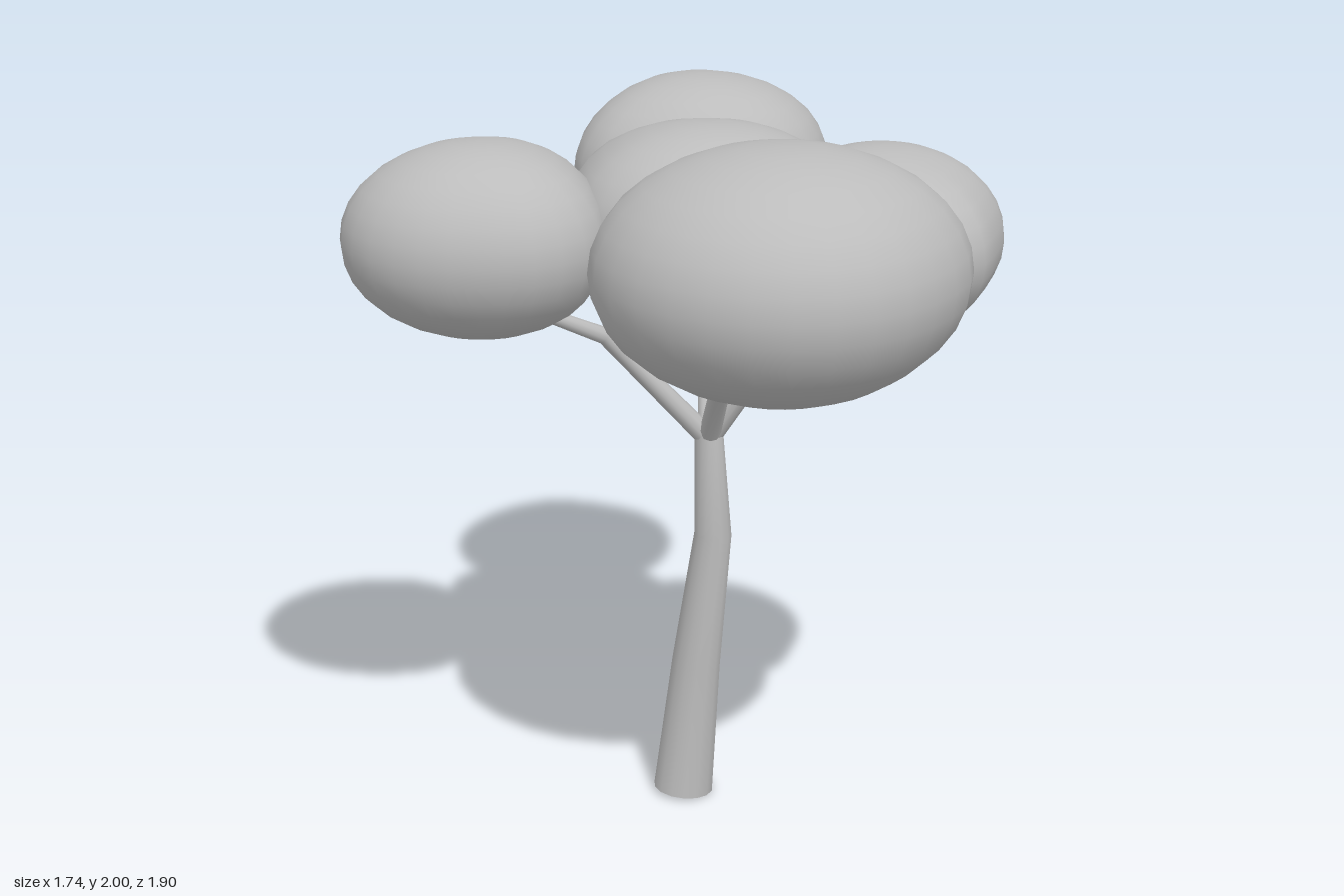
import * as THREE from 'three';
import { mergeVertices } from 'three/addons/utils/BufferGeometryUtils.js';

const grey = new THREE.MeshStandardMaterial({ color: 0xbcbcbc });
grey.name = 'plain grey';

// Smooth closed interpolation of radii given at equal angles
function radiusAt(radii, angle) {
  const n = radii.length;
  const t = ((angle / (2 * Math.PI)) * n + 2 * n) % n;
  const i = Math.floor(t), f = t - i;
  const [a, b, c, d] = [-1, 0, 1, 2].map((k) => radii[(i + k + n) % n]);
  return b + 0.5 * f * (c - a + f * (2 * a - 5 * b + 4 * c - d + f * (3 * (b - c) + d - a)));
}

// Lumpy leaf cushion: a sphere whose plan outline follows the radii (from +x towards +z)
function leafClump(name, [cx, cy, cz], height, radii) {
  let geo = new THREE.SphereGeometry(1, 28, 16);
  geo.deleteAttribute('uv');
  geo.deleteAttribute('normal');
  geo = mergeVertices(geo, 1e-4);
  const pos = geo.attributes.position;
  for (let i = 0; i < pos.count; i++) {
    const x = pos.getX(i), y = pos.getY(i), z = pos.getZ(i);
    const ring = Math.hypot(x, z);
    const angle = Math.atan2(z, x);
    // blend to an even radius near the poles, with slightly full sides
    const even = radii.reduce((s, r) => s + r, 0) / radii.length;
    const r = THREE.MathUtils.lerp(even, radiusAt(radii, angle), Math.min(1, ring * 1.3)) * Math.pow(ring, 0.92);
    pos.setXYZ(i, cx + r * Math.cos(angle), cy + y * height, cz + r * Math.sin(angle));
  }
  geo.computeVertexNormals();
  const mesh = new THREE.Mesh(geo, grey);
  mesh.name = name;
  return mesh;
}

// Tapered limb through points [x, y, z, radius], listed from bottom to top
function limb(name, points, sides) {
  const n = points.length;
  const centres = points.map((p) => new THREE.Vector3(p[0], p[1], p[2]));
  const up = new THREE.Vector3(0, 1, 0);
  const turns = centres.map((c, i) => {
    const dir = centres[Math.min(i + 1, n - 1)].clone().sub(centres[Math.max(i - 1, 0)]).normalize();
    return new THREE.Quaternion().setFromUnitVectors(up, dir);
  });
  const geo = new THREE.CylinderGeometry(1, 1, 1, sides, n - 1, false, Math.PI);
  const pos = geo.attributes.position;
  const v = new THREE.Vector3();
  for (let i = 0; i < pos.count; i++) {
    const row = Math.round((pos.getY(i) + 0.5) * (n - 1));
    v.set(pos.getX(i), 0, pos.getZ(i)).multiplyScalar(points[row][3]);
    v.applyQuaternion(turns[row]).add(centres[row]);
    pos.setXYZ(i, v.x, v.y, v.z);
  }
  geo.computeVertexNormals();
  const mesh = new THREE.Mesh(geo, grey);
  mesh.name = name;
  return mesh;
}

export function createModel() {
  const tree = new THREE.Group();
  tree.name = 'tree';

  // Gently bent trunk
  tree.add(limb('trunk', [
    [0.032, 0.01, -0.016, 0.084],
    [0.068, 0.4, -0.019, 0.068],
    [0.112, 0.8, 0.017, 0.052],
    [0.1, 1.09, -0.006, 0.04],
  ], 14));

  // Four branches fanning out from the trunk top
  const fork = [0.1, 1.07, -0.005, 0.03];
  const branches = {
    rightBranch: [[-0.18, 1.385, 0.06, 0.024], [-0.42, 1.49, 0.1, 0.016]],
    frontBranch: [[0.14, 1.375, 0.22, 0.026], [0.18, 1.48, 0.38, 0.018]],
    leftBranch: [[0.3, 1.385, 0.07, 0.024], [0.46, 1.48, 0.13, 0.016]],
    backBranch: [[0.1, 1.375, -0.27, 0.024], [0.09, 1.47, -0.45, 0.016]],
  };
  for (const [name, path] of Object.entries(branches)) tree.add(limb(name, [fork, ...path], 10));

  // Five overlapping leaf clumps
  tree.add(
    leafClump('rightLeaves', [-0.5, 1.675, 0.12], 0.256,
      [0.33, 0.35, 0.34, 0.32, 0.335, 0.36, 0.37, 0.35, 0.33, 0.325, 0.35, 0.34]),
    leafClump('frontLeaves', [0.26, 1.68, 0.49], 0.32,
      [0.48, 0.455, 0.455, 0.46, 0.465, 0.475, 0.485, 0.465, 0.44, 0.44, 0.45, 0.465]),
    leafClump('leftLeaves', [0.54, 1.678, 0.13], 0.238,
      [0.325, 0.33, 0.39, 0.34, 0.31, 0.3, 0.3, 0.3, 0.29, 0.32, 0.32, 0.325]),
    leafClump('backLeaves', [0.09, 1.687, -0.6], 0.267,
      [0.375, 0.36, 0.335, 0.33, 0.34, 0.375, 0.35, 0.32, 0.32, 0.35, 0.355, 0.39]),
    leafClump('middleLeaves', [0.09, 1.687, -0.02], 0.257,
      [0.37, 0.34, 0.33, 0.33, 0.36, 0.38, 0.37, 0.395, 0.37, 0.32, 0.37, 0.4]),
  );
  return tree;
}
